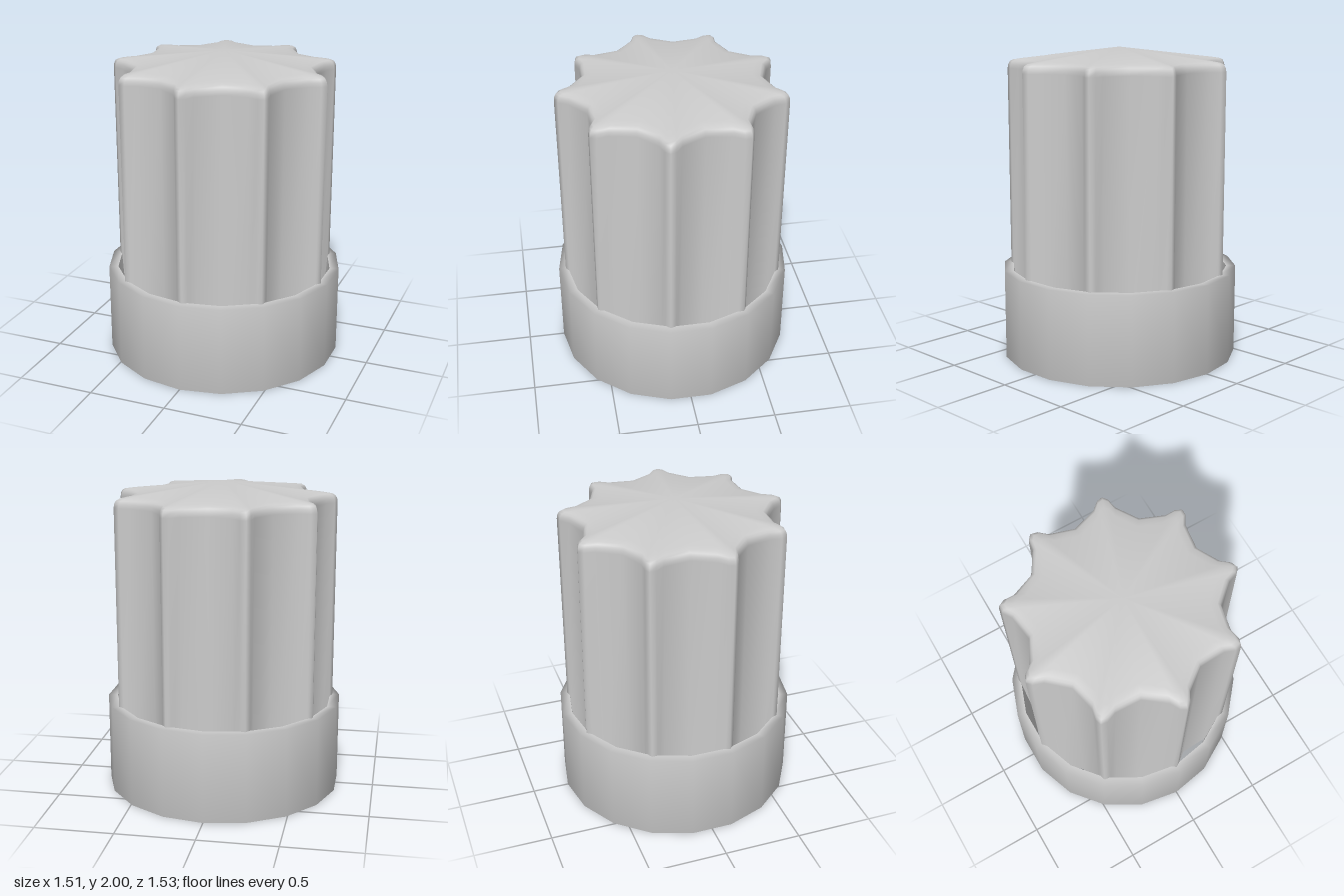
import * as THREE from 'three';

const POINTS = 9;

// One star point as [angle in degrees, radius]: valley, flank, rounded tip, flank
const POINT_PROFILE = [[-20, 0.573], [-5.8, 0.643], [-2.7, 0.70], [0, 0.72], [2.7, 0.70], [5.8, 0.643]];

// Fluted shell: star cross-sections stacked from the open foot to the peak
function starShell() {
  const outline = [];
  for (let k = 0; k < POINTS; k++) {
    for (const [deg, r] of POINT_PROFILE) {
      const a = THREE.MathUtils.degToRad(deg + k * 360 / POINTS);
      outline.push([Math.sin(a) * r, Math.cos(a) * r]);
    }
  }
  // [height, scale] of each section: straight wall, softened rim, shallow cone
  const sections = [[0.02, 1], [1.86, 1], [1.885, 0.995], [1.905, 0.98], [1.916, 0.95], [1.925, 0.87]];
  const n = outline.length;
  const pos = [], index = [];
  for (const [y, s] of sections) for (const [x, z] of outline) pos.push(x * s, y, z * s);
  pos.push(0, 2, 0);
  const peak = sections.length * n;
  for (let j = 0; j < sections.length; j++) {
    for (let i = 0; i < n; i++) {
      const a = j * n + i, b = j * n + (i + 1) % n;
      if (j === sections.length - 1) index.push(a, b, peak);
      else index.push(a, b, b + n, a, b + n, a + n);
    }
  }
  const geo = new THREE.BufferGeometry();
  geo.setAttribute('position', new THREE.Float32BufferAttribute(pos, 3));
  geo.setIndex(index);
  geo.computeVertexNormals();
  return geo;
}

// Collar ring whose inner wall widens towards the top
function collarRing() {
  const profile = [[0.705, 0.575], [0.66, 0], [0.765, 0], [0.765, 0.575], [0.705, 0.575]];
  return new THREE.LatheGeometry(profile.map(([r, y]) => new THREE.Vector2(r, y)), 18);
}

export function createModel() {
  const group = new THREE.Group();
  group.name = 'flutedCap';
  const add = (name, geo, side) => {
    const mesh = new THREE.Mesh(geo, new THREE.MeshStandardMaterial({ color: 0xcccccc, side }));
    mesh.name = name;
    group.add(mesh);
  };
  add('starShell', starShell(), THREE.DoubleSide);
  add('collarRing', collarRing(), THREE.FrontSide);
  return group;
}
